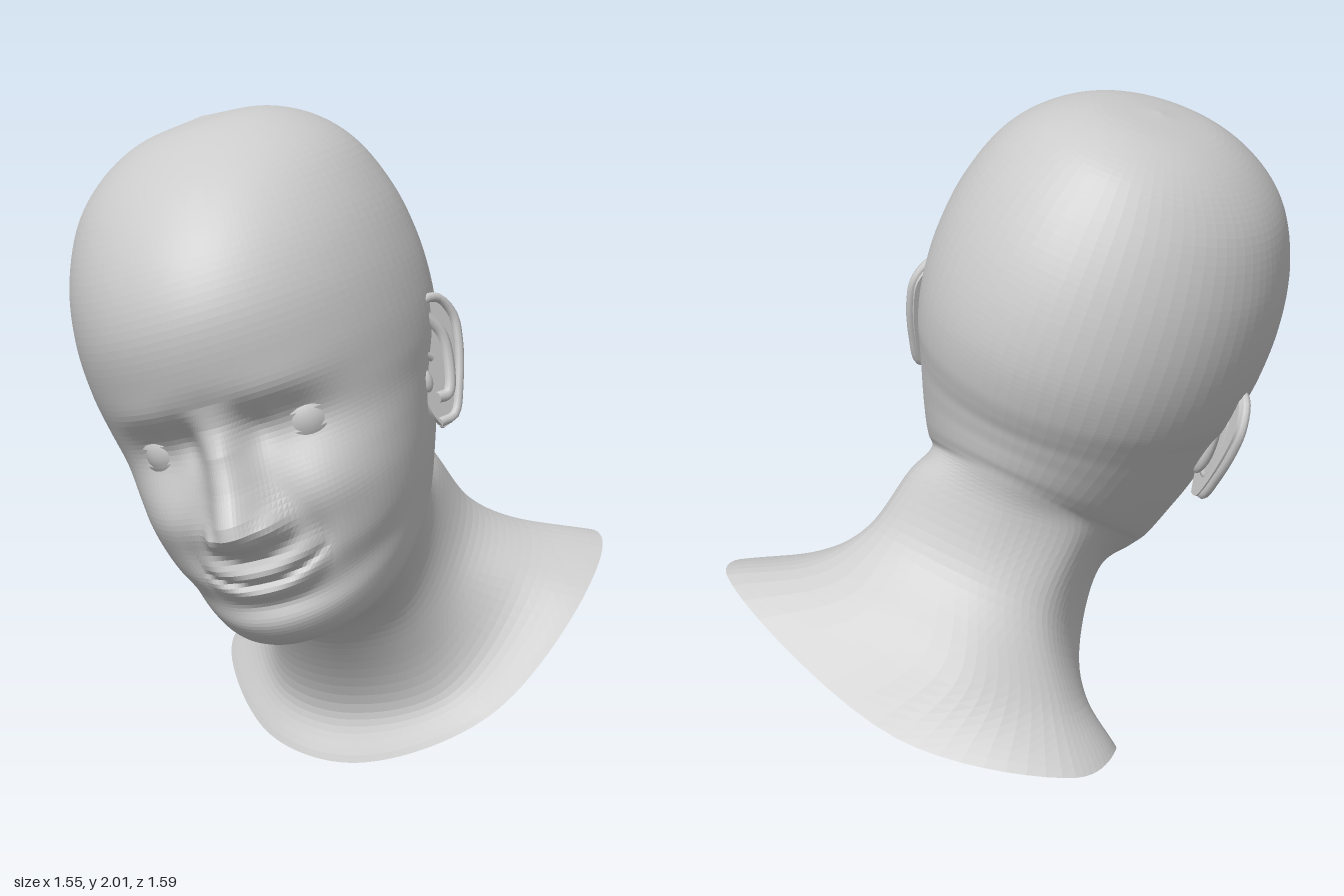
import * as THREE from 'three';

const V = (a) => new THREE.Vector3(...a);
const skin = new THREE.MeshStandardMaterial({ color: 0xcccccc, flatShading: true, side: THREE.DoubleSide });
const smooth = new THREE.MeshStandardMaterial({ color: 0xcccccc, side: THREE.DoubleSide });
const ss = THREE.MathUtils.smoothstep;

// Head frame: tilted to its right and turned slightly, centred between the ears
const headPosition = new THREE.Vector3(-0.16, 1.14, 0.05);
const headTurn = new THREE.Euler(0, THREE.MathUtils.degToRad(-8), THREE.MathUtils.degToRad(17), 'ZYX');

// Head rings, crown to jaw: front y, front z, back y, back z, half width
const headRings = [
  [0.843, 0.2, 0.843, -0.24, 0.19],
  [0.78, 0.36, 0.78, -0.37, 0.315],
  [0.68, 0.505, 0.68, -0.45, 0.412],
  [0.52, 0.635, 0.52, -0.53, 0.48],
  [0.36, 0.692, 0.36, -0.573, 0.507],
  [0.2, 0.678, 0.22, -0.58, 0.507],
  [0.08, 0.63, 0.1, -0.555, 0.49],
  [-0.03, 0.6, 0.04, -0.53, 0.465],
  [-0.14, 0.605, 0.0, -0.51, 0.445],
  [-0.26, 0.61, -0.03, -0.5, 0.425],
  [-0.37, 0.605, -0.06, -0.49, 0.405],
  [-0.46, 0.57, -0.09, -0.483, 0.385],
  [-0.54, 0.56, -0.12, -0.475, 0.365],
  [-0.605, 0.5, -0.145, -0.465, 0.345],
  [-0.628, 0.36, -0.17, -0.46, 0.325],
];

// Neck rings, top to shoulder rim: eight points each, from the front round by the left
const neckRings = [
  [[-0.02, 0.5, 0.22], [0.19, 0.56, 0.15], [0.28, 0.78, -0.02], [0.225, 0.94, -0.29],
    [-0.05, 0.9, -0.405], [-0.26, 0.8, -0.3], [-0.28, 0.62, -0.08], [-0.22, 0.52, 0.1]],
  [[0, 0.36, 0.08], [0.24, 0.42, 0.05], [0.36, 0.63, -0.1], [0.34, 0.77, -0.36],
    [0, 0.7, -0.47], [-0.2, 0.6, -0.42], [-0.25, 0.46, -0.24], [-0.2, 0.38, -0.03]],
  [[0.02, 0.14, -0.03], [0.32, 0.24, 0], [0.52, 0.57, -0.16], [0.47, 0.68, -0.45],
    [-0.02, 0.48, -0.65], [-0.28, 0.37, -0.53], [-0.31, 0.31, -0.35], [-0.2, 0.17, -0.13]],
  [[0.05, 0, 0.03], [0.46, 0.18, 0.05], [0.735, 0.52, -0.17], [0.745, 0.63, -0.5],
    [0.12, 0.33, -0.785], [-0.38, 0.24, -0.7], [-0.43, 0.2, -0.45], [-0.24, 0.03, -0.1]],
];

// Nose ridge: y, height, half width
const nose = [
  [0.13, 0, 0.06], [0.06, 0.018, 0.06], [-0.013, 0.065, 0.06], [-0.117, 0.1, 0.068], [-0.19, 0.145, 0.08],
  [-0.23, 0.15, 0.088], [-0.265, 0.11, 0.085], [-0.295, 0.035, 0.07], [-0.325, 0, 0.06],
];

function noseHeight(x, y) {
  for (let i = 0; i < nose.length - 1; i++) {
    const [y0, h0, s0] = nose[i], [y1, h1, s1] = nose[i + 1];
    if (y <= y0 && y > y1) {
      const t = (y0 - y) / (y0 - y1);
      const s = s0 + (s1 - s0) * t;
      return (h0 + (h1 - h0) * t) * Math.exp(-(Math.abs(x / s) ** 2.5));
    }
  }
  return 0;
}

// Forward displacement of the face at a point
function faceRelief(x, y) {
  const ax = Math.abs(x);
  const bump = (cx, cy, sx, sy) => Math.exp(-(((ax - cx) / sx) ** 2) - ((y - cy) / sy) ** 2);
  let d = noseHeight(x, y);
  d += 0.04 * bump(0.092, -0.235, 0.032, 0.04); // nostril wings
  d += 0.012 * bump(0.2, 0.125, 0.13, 0.05); // brows
  d -= 0.035 * bump(0.2, 0.02, 0.11, 0.075); // eye sockets
  d -= 0.025 * bump(0.1, 0.03, 0.04, 0.06);
  d += 0.03 * bump(0.25, -0.18, 0.11, 0.09); // cheeks
  d -= 0.014 * bump(0.185, -0.31, 0.035, 0.07); // smile folds
  const taper = Math.max(0, 1 - (x / 0.19) ** 2);
  const m = y - (-0.395 + 1.6 * Math.min(ax, 0.19) ** 2); // height above the lip line
  d += taper * (0.022 * Math.exp(-(((m - 0.03) / 0.03) ** 2)) + 0.026 * Math.exp(-(((m + 0.032) / 0.028) ** 2)));
  d -= 0.018 * Math.sqrt(taper) * Math.exp(-((m / 0.013) ** 2));
  d -= 0.012 * bump(0, -0.47, 0.12, 0.03); // fold above the chin
  return d;
}

// One skin from crown to shoulder rim, lofted through the rings
function skinGeometry(toHead) {
  const columns = 120, perRing = 7;
  const loops = neckRings.map((r) => new THREE.CatmullRomCurve3(r.map((p) => V(p).applyMatrix4(toHead)), true));
  const rows = (headRings.length + loops.length) * perRing + 1;
  const pos = [], index = [];
  for (let j = 0; j < columns; j++) {
    const f = (j / columns) * Math.PI * 2;
    const a = f - 0.68 * Math.sin(f); // closer columns on the face
    const s = Math.sin(a), c = Math.cos(a);
    const line = [new THREE.Vector3(0, 0.868, -0.02)];
    headRings.forEach(([yf, zf, yb, zb, w], i) => {
      const k = c > 0 ? 0.25 * ss(i, 4, 9) - 0.17 * ss(i, 9, 12) : 0; // fuller front of the face
      line.push(new THREE.Vector3(
        w * s * (1 + k * c * c),
        yf + (yb - yf) * (1 - c) / 2,
        c > 0 ? zf * c : -zb * c,
      ));
    });
    for (const loop of loops) line.push(loop.getPoint(a / (Math.PI * 2)));
    const curve = new THREE.CatmullRomCurve3(line);
    for (let i = 0; i < rows; i++) {
      const p = curve.getPoint(i / (rows - 1));
      if (p.z > 0.2) p.z += faceRelief(p.x, p.y) * ss(p.z, 0.2, 0.4);
      pos.push(p.x, p.y, p.z);
    }
  }
  for (let j = 0; j < columns; j++) {
    for (let i = 0; i < rows - 1; i++) {
      const p = j * rows + i, q = ((j + 1) % columns) * rows + i;
      if (i > 0) index.push(p, p + 1, q);
      index.push(q, p + 1, q + 1);
    }
  }
  const g = new THREE.BufferGeometry();
  g.setAttribute('position', new THREE.Float32BufferAttribute(pos, 3));
  g.setIndex(index);
  g.computeVertexNormals();
  return g;
}

function add(group, name, geometry, material = smooth) {
  const m = new THREE.Mesh(geometry, material);
  m.name = name;
  group.add(m);
  return m;
}

// Eyeball with an upper and a lower lid
function makeEye() {
  const eye = new THREE.Group();
  eye.name = 'eye';
  add(eye, 'eyeball', new THREE.SphereGeometry(0.093, 28, 20));
  add(eye, 'upperLid', new THREE.SphereGeometry(0.101, 28, 10, 0, Math.PI * 2, 0, 1.3)).rotation.x = 0.05;
  add(eye, 'lowerLid', new THREE.SphereGeometry(0.099, 28, 10, 0, Math.PI * 2, 1.88, Math.PI - 1.88));
  eye.position.set(0.196, 0.012, 0.442);
  return eye;
}

// Ear drawn in its own plane, x running backwards
function makeEar() {
  const ear = new THREE.Group();
  ear.name = 'ear';
  const outline = [[0.03, -0.19], [0.08, -0.17], [0.13, -0.08], [0.17, 0.03], [0.18, 0.11],
    [0.14, 0.175], [0.08, 0.185], [0.02, 0.13], [0, 0.0], [0, -0.12]].map(([x, y]) => new THREE.Vector2(x, y));
  const shape = new THREE.Shape();
  shape.moveTo(0.03, -0.19);
  shape.splineThru(outline.slice(1).concat(outline[0]));
  add(ear, 'earPlate', new THREE.ExtrudeGeometry(shape, { depth: 0.015, bevelEnabled: false, curveSegments: 40 }))
    .position.z = -0.015;
  const tube = (name, pts, r) => add(ear, name,
    new THREE.TubeGeometry(new THREE.CatmullRomCurve3(pts.map(V)), 36, r, 8));
  tube('earRim', [[0.02, -0.17, 0], [0.08, -0.165, 0.002], [0.13, -0.08, 0.004], [0.17, 0.03, 0.006],
    [0.178, 0.11, 0.007], [0.14, 0.172, 0.008], [0.08, 0.18, 0.008], [0.025, 0.13, 0.007],
    [0.02, 0.05, 0.004], [0.06, 0.015, -0.005]], 0.014);
  tube('earFold', [[0.08, 0.14, -0.004], [0.12, 0.07, 0], [0.115, -0.02, 0], [0.08, -0.1, 0],
    [0.04, -0.1, -0.004]], 0.018);
  const tragus = add(ear, 'tragus', new THREE.SphereGeometry(0.03, 12, 8));
  tragus.position.set(0.015, -0.04, 0);
  tragus.scale.set(0.7, 1.2, 0.6);
  const back = add(ear, 'earBack', new THREE.SphereGeometry(1, 16, 12));
  back.position.set(0.05, 0, -0.035);
  back.scale.set(0.06, 0.11, 0.03);
  ear.position.set(0.44, 0, 0.075);
  ear.rotation.y = THREE.MathUtils.degToRad(56);
  return ear;
}

export function createModel() {
  const model = new THREE.Group();
  model.name = 'bust';
  const head = new THREE.Group();
  head.name = 'head';
  head.position.copy(headPosition);
  head.rotation.copy(headTurn);
  head.updateMatrix();
  model.add(head);

  add(head, 'headAndNeck', skinGeometry(head.matrix.clone().invert()), skin);
  for (const side of [1, -1]) {
    const half = new THREE.Group();
    half.name = side > 0 ? 'leftFeatures' : 'rightFeatures';
    half.scale.x = side;
    half.add(makeEye(), makeEar());
    head.add(half);
  }
  return model;
}
